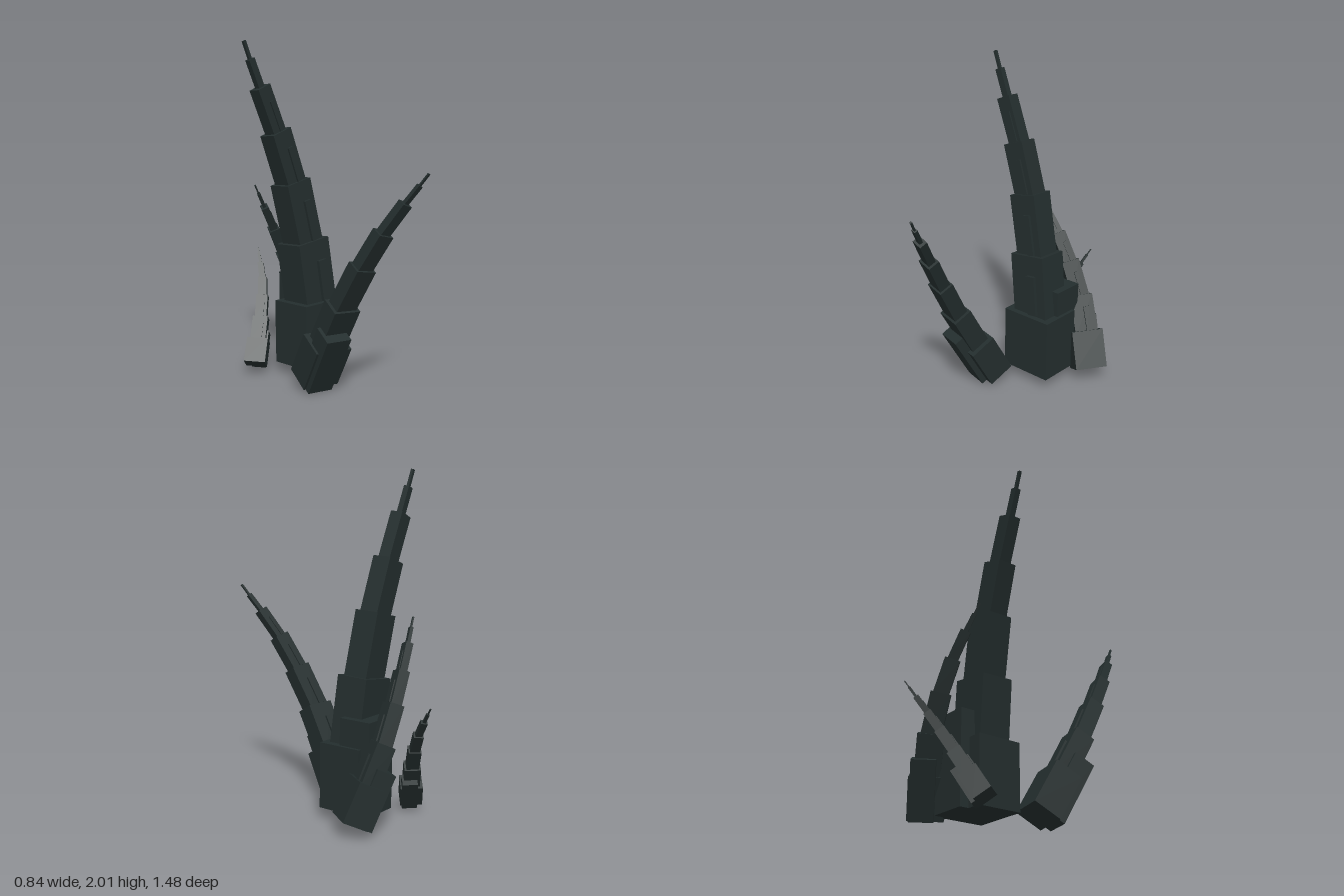
import * as THREE from 'three';

const stone = new THREE.MeshStandardMaterial({ color: 0x232d2d });
stone.name = 'dark slate';

// Tier tops as fractions of the tower's length, and tier widths relative to the base
const TOPS = [0.193, 0.379, 0.564, 0.722, 0.861, 0.946, 1];
const TAPER = [1, 0.73, 0.56, 0.43, 0.29, 0.13, 0.06];

// Box standing on point p, rising along "up", with its width along "side"
function block(name, p, up, side, offset, size) {
  const y = up.clone().normalize();
  const z = new THREE.Vector3().crossVectors(side, y).normalize();
  const x = new THREE.Vector3().crossVectors(y, z);
  const geo = new THREE.BoxGeometry(...size);
  geo.translate(offset[0], offset[1] + size[1] / 2, offset[2]);
  geo.applyMatrix4(new THREE.Matrix4().makeBasis(x, y, z).setPosition(p));
  const mesh = new THREE.Mesh(geo, stone);
  mesh.name = name;
  return mesh;
}

// Curved tower of shrinking tiers, with ribs on its outer face
function tower(name, angle, width, depth, points) {
  const group = new THREE.Group();
  group.name = name;
  const side = new THREE.Vector3(Math.cos(angle), 0, Math.sin(angle));
  const path = new THREE.CatmullRomCurve3(points.map((p) => new THREE.Vector3(...p)));
  let p = path.getPointAt(0);
  TOPS.forEach((top, i) => {
    const next = path.getPointAt(top);
    const up = next.clone().sub(p);
    const h = up.length();
    const w = width * TAPER[i];
    const d = w * depth;
    const sink = i ? 0.15 * w : 0;
    group.add(block('tier', p, up, side, [0, -sink, 0], [w, h + sink, d]));
    if (i === 0) {
      // Taller block set into the back corner of the base
      group.add(block('buttress', p, up, side,
        [0.1 * w, 0, -0.33 * d], [0.68 * w, 1.41 * h, 0.75 * d]));
    } else if (i < 5) {
      group.add(block('rib', p, up, side,
        [0.13 * w, 0, 0.5 * d], [0.25 * w, 0.67 * h, 0.2 * d]));
    }
    p = next;
  });
  return group;
}

export function createModel() {
  const model = new THREE.Group();
  model.name = 'leaningTowers';
  model.add(
    tower('mainTower', 0, 0.34, 0.8,
      [[0.03, 0.05, -0.23], [0.03, 0.44, -0.235], [-0.095, 1.175, -0.275], [-0.41, 1.995, -0.316]]),
    tower('frontTower', -2.89, 0.233, 0.73,
      [[-0.172, 0.045, 0], [-0.215, 0.535, 0.272], [-0.165, 0.95, 0.51], [-0.052, 1.288, 0.735]]),
    tower('sideTower', -0.927, 0.2, 0.77,
      [[0.31, 0.06, -0.39], [0.14, 0.49, -0.488], [-0.04, 0.86, -0.49], [-0.225, 1.15, -0.448]]),
    tower('backTower', 0.877, 0.13, 0.82,
      [[-0.265, 0.05, -0.42], [-0.13, 0.3, -0.515], [-0.025, 0.51, -0.615], [0.045, 0.695, -0.735]]),
  );
  return model;
}
